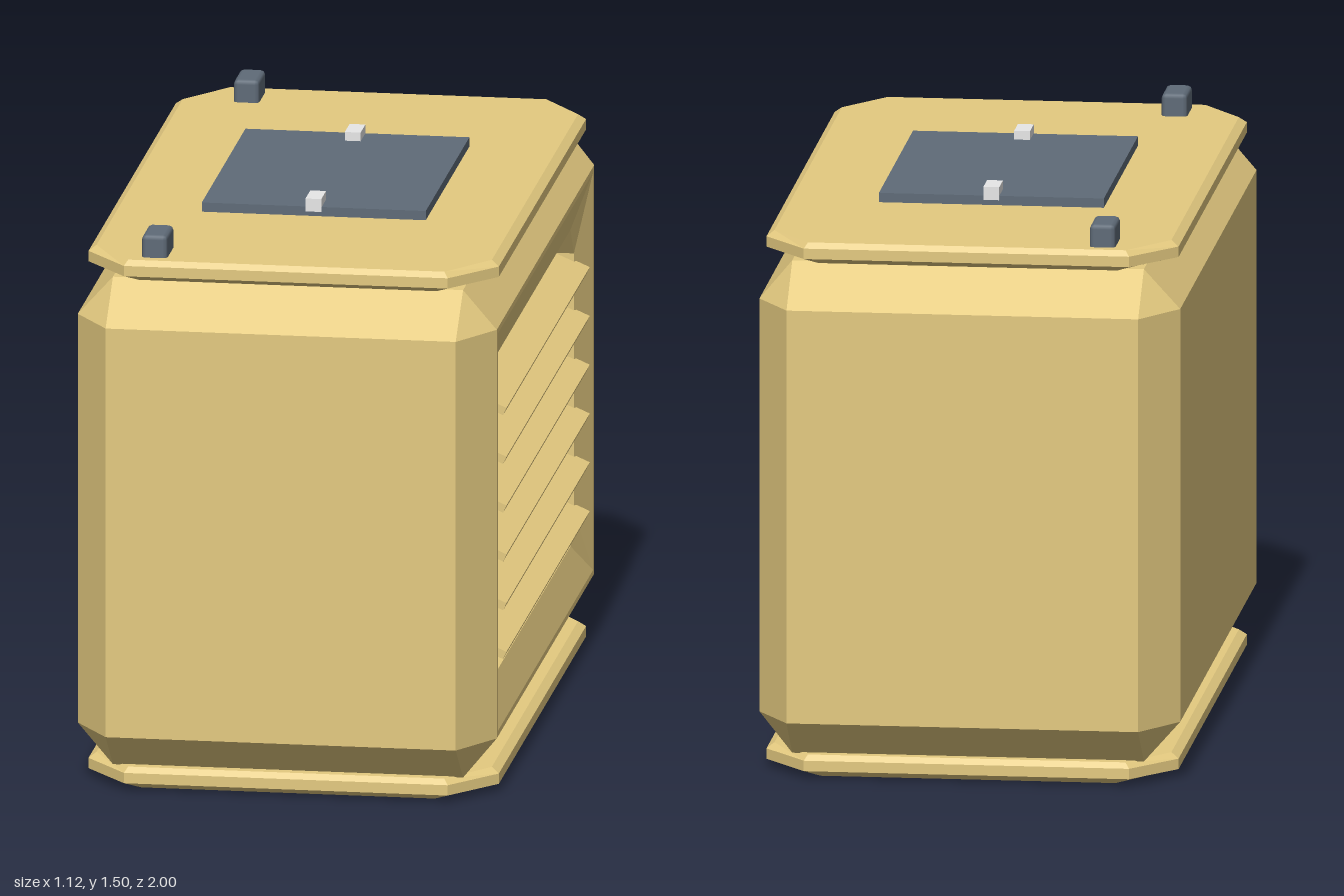
import * as THREE from 'three';
import { RoundedBoxGeometry } from 'three/addons/geometries/RoundedBoxGeometry.js';

const tan = new THREE.MeshStandardMaterial({ name: 'sand paint', color: 0xe4ca80 });
const slate = new THREE.MeshStandardMaterial({ name: 'slate grey', color: 0x5f6b78 });
const pale = new THREE.MeshStandardMaterial({ name: 'pale metal', color: 0xe8e8e8 });

// Eight-point ring: half sizes hu, hv; corners cut back to iu, iv.
const octagon = (hu, hv, iu, iv) => [
  [hu, -iv], [hu, iv], [iu, hv], [-iu, hv], [-hu, iv], [-hu, -iv], [-iu, -hv], [iu, -hv]];

// Flat-faced skin through successive rings, with optional end caps.
function loft(rings, capStart, capEnd) {
  const pos = [];
  const tri = (...pts) => pts.forEach(p => pos.push(...p));
  for (let r = 0; r < rings.length - 1; r++) {
    const a = rings[r], b = rings[r + 1];
    for (let i = 0; i < a.length; i++) {
      const j = (i + 1) % a.length;
      tri(a[i], b[i], b[j]);
      tri(a[i], b[j], a[j]);
    }
  }
  const first = rings[0], last = rings[rings.length - 1];
  for (let i = 1; i < first.length - 1; i++) {
    if (capStart) tri(first[0], first[i], first[i + 1]);
    if (capEnd) tri(last[0], last[i + 1], last[i]);
  }
  const g = new THREE.BufferGeometry();
  g.setAttribute('position', new THREE.Float32BufferAttribute(pos, 3));
  g.computeVertexNormals();
  return g;
}

export function createModel() {
  const model = new THREE.Group();
  model.name = 'ventedUnit';

  const add = (name, geometry, material, x = 0, y = 0, z = 0) => {
    const m = new THREE.Mesh(geometry, material);
    m.name = name;
    m.position.set(x, y, z);
    model.add(m);
  };
  const box = (name, material, w, h, d, x, y, z) =>
    add(name, new THREE.BoxGeometry(w, h, d), material, x, y, z);

  // Chamfered housing, with a sloped vent recess and cavity on the left side
  const ringX = (x, ...o) => octagon(...o).map(([z, y]) => [x, y + 0.722, z]);
  add('housing', loft([
    ringX(-0.56, 0.86, 0.555, 0.86, 0.555),
    ringX(-0.465, 1, 0.662, 0.87, 0.555),
    ringX(0.465, 1, 0.662, 0.87, 0.555),
    ringX(0.553, 0.86, 0.555, 0.86, 0.555),
    ringX(0.553, 0.84, 0.54, 0.84, 0.54),
    ringX(0.52, 0.72, 0.43, 0.66, 0.35),
    ringX(0.12, 0.72, 0.43, 0.66, 0.35),
  ], true, false), tan);

  // Dark panel at the back of the vent cavity
  box('ventBackPanel', slate, 0.02, 0.86, 1.44, 0.12, 0.722, 0);

  // Thin louvre slats, tilted down towards the outside
  const slat = new THREE.Shape();
  [[0.56, 0.02], [0.41, 0.085], [0.401, 0.066], [0.551, 0]]
    .forEach(([x, y], i) => (i ? slat.lineTo(x, y) : slat.moveTo(x, y)));
  const slatGeometry = new THREE.ExtrudeGeometry(slat, { depth: 1.47, bevelEnabled: false });
  for (let i = 0; i < 6; i++) {
    add('louvreSlat', slatGeometry, tan, 0, 0.35 + i * 0.1325, -0.735);
  }

  // Base and top plates: cut corners and tapered edges
  const ringY = (y, ...o) => octagon(...o).map(([u, v]) => [-u, y, -v]);
  const plate = loft([
    ringY(0, 0.46, 0.87, 0.39, 0.77),
    ringY(0.02, 0.545, 0.91, 0.43, 0.77),
    ringY(0.048, 0.545, 0.91, 0.43, 0.77),
    ringY(0.063, 0.525, 0.9, 0.42, 0.76),
  ], true, true);
  add('basePlate', plate, tan);
  add('topPlate', plate, tan, 0, 1.377, 0);

  // Access hatch on top
  box('hatch', slate, 0.595, 0.03, 0.77, -0.005, 1.45, -0.003);

  // Hatch latches and lifting blocks at both ends
  const blockGeometry = new RoundedBoxGeometry(0.068, 0.075, 0.125, 1, 0.012);
  for (const s of [1, -1]) {
    box('latch', pale, 0.042, 0.035, 0.085, -0.005, 1.471, s * 0.347);
    add('liftingBlock', blockGeometry, slate, -0.355, 1.4625, s * 0.81);
  }
  return model;
}
